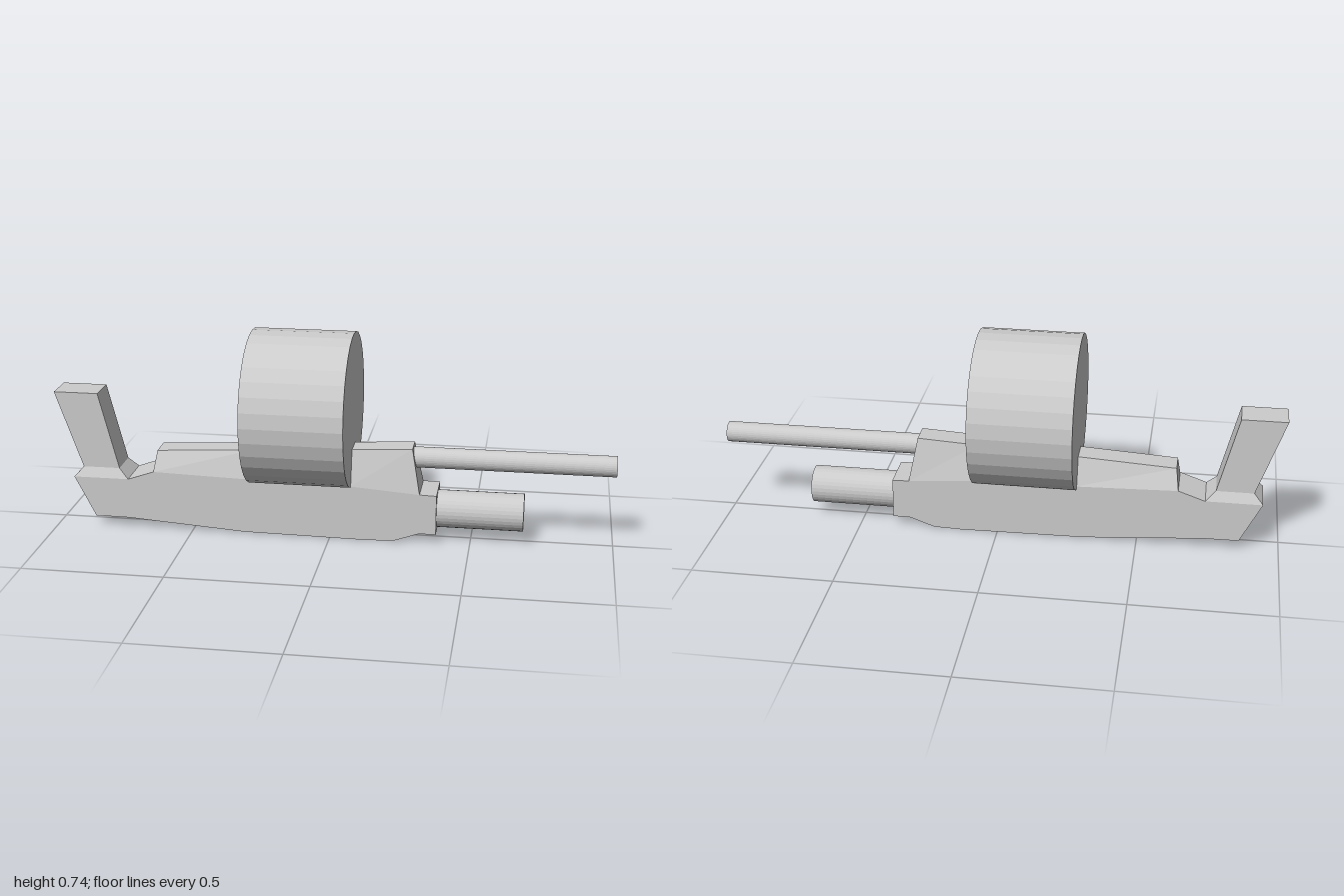
import * as THREE from 'three';

const grey = new THREE.MeshStandardMaterial({ color: 0xcccccc, flatShading: true });

function add(group, name, geometry) {
  const mesh = new THREE.Mesh(geometry, grey);
  mesh.name = name;
  group.add(mesh);
  return mesh;
}

// Six-sided block; each end is [x, y, half depth]
function block(lowBack, lowFront, topBack, topFront) {
  const geo = new THREE.BoxGeometry(1, 1, 1);
  const p = geo.attributes.position;
  for (let i = 0; i < p.count; i++) {
    const end = p.getY(i) < 0
      ? (p.getX(i) < 0 ? lowBack : lowFront)
      : (p.getX(i) < 0 ? topBack : topFront);
    p.setXYZ(i, end[0], end[1], Math.sign(p.getZ(i)) * end[2]);
  }
  geo.computeVertexNormals();
  return geo;
}

// Cylinder lying along x
function rod(x0, x1, y, radius, sides) {
  return new THREE.CylinderGeometry(radius, radius, x1 - x0, sides)
    .rotateZ(-Math.PI / 2)
    .translate((x0 + x1) / 2, y, 0);
}

export function createModel() {
  const model = new THREE.Group();
  model.name = 'drumFedGun';

  // Lower body: side profile extruded across z
  const profile = [
    [-0.935, 0.183], [-0.86, 0.036], [-0.74, 0.035], [-0.31, 0.005], [0.13, 0], [0.23, 0.003],
    [0.32, 0.035], [0.38, 0.035], [0.38, 0.18], [0.32, 0.182], [0.075, 0.2], [-0.28, 0.206],
    [-0.64, 0.216], [-0.735, 0.183],
  ].map(([x, y]) => new THREE.Vector2(x, y));
  const body = new THREE.ExtrudeGeometry(new THREE.Shape(profile), { depth: 0.15, bevelEnabled: false });
  add(model, 'lowerBody', body.translate(0, 0, -0.075));

  // Tapered cover, behind, under and ahead of the drum
  add(model, 'rearCover', block([-0.64, 0.216, 0.075], [-0.28, 0.206, 0.075], [-0.63, 0.288, 0.043], [-0.28, 0.308, 0.043]));
  add(model, 'middleCover', block([-0.28, 0.206, 0.075], [0.075, 0.2, 0.075], [-0.28, 0.308, 0.043], [0.075, 0.327, 0.043]));
  add(model, 'frontCover', block([0.075, 0.2, 0.075], [0.32, 0.182, 0.075], [0.075, 0.327, 0.043], [0.29, 0.339, 0.043]));

  // Drum magazine
  add(model, 'drum', rod(-0.284, 0.076, 0.462, 0.276, 32));

  // Slanted grip on a bevelled foot
  add(model, 'gripFoot', block([-0.935, 0.183, 0.075], [-0.735, 0.183, 0.075], [-0.903, 0.218, 0.058], [-0.77, 0.218, 0.058]));
  add(model, 'grip', block([-0.903, 0.218, 0.058], [-0.77, 0.218, 0.058], [-1, 0.496, 0.058], [-0.84, 0.496, 0.058]));

  // Thin upper barrel
  add(model, 'upperBarrel', rod(0.28, 1, 0.297, 0.037, 32));

  // Wide lower barrel with a bore narrowing towards its closed rear
  const bore = [[0, 0], [0.067, 0], [0.067, 0.305], [0.047, 0.004], [0, 0.004]]
    .map(([r, h]) => new THREE.Vector2(r, h));
  const lower = new THREE.LatheGeometry(bore, 32).rotateZ(-Math.PI / 2).translate(0.38, 0.108, 0);
  add(model, 'lowerBarrel', lower);

  return model;
}
